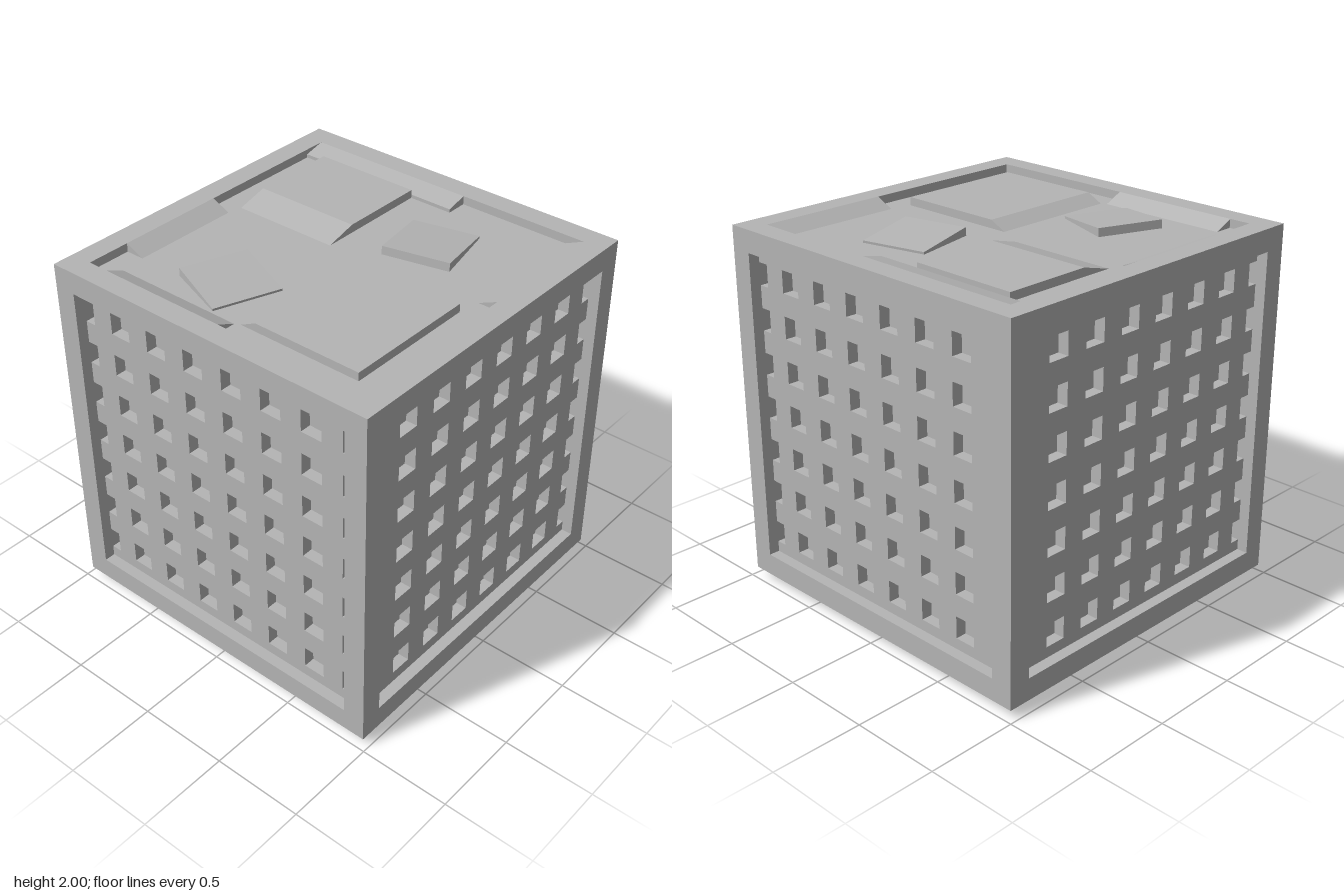
import * as THREE from 'three';

const U = 0.061;            // modelling grid unit: the crate is 32 units wide
const MID = 1.025;          // height of the crate's centre
const IN = 14 * U, OUT = 16 * U;
const FLOOR = 1.953, TOP = 1.998;

export function createModel() {
  const model = new THREE.Group();
  const grey = new THREE.MeshStandardMaterial({ color: 0xb4b4b4 });
  grey.name = 'grey';

  const add = (name, geometry, parent = model) => {
    const mesh = new THREE.Mesh(geometry, grey);
    mesh.name = name;
    parent.add(mesh);
    return mesh;
  };
  const box = (name, w, h, d, x, y, z, parent) => {
    const mesh = add(name, new THREE.BoxGeometry(w, h, d), parent);
    mesh.position.set(x, y, z);
    return mesh;
  };

  // Solid core, which also sticks out below as the base
  box('core', 2 * IN, FLOOR, 2 * IN, 0, FLOOR / 2, 0);

  // Outer frame: four posts, with rails between them at the top and bottom
  const frame = new THREE.Group();
  frame.name = 'frame';
  model.add(frame);
  const c = 15 * U, t = 2 * U;
  for (const a of [-1, 1]) for (const b of [-1, 1]) {
    box('post', t, 2 * (2 - MID), t, a * c, MID, b * c, frame);
    const y = MID + b * (2 - MID - U);
    box('rail', 2 * IN, t, t, 0, y, a * c, frame);
    box('rail', t, t, 2 * IN, a * c, y, 0, frame);
  }

  // Lattice panel with square holes and half holes along its side edges
  const rows = [-12, -8, -4, 0, 4, 8, 12];
  const edge = [[14, -14]];
  for (const r of rows) edge.push([14, r - 1], [13, r - 1], [13, r + 1], [14, r + 1]);
  edge.push([14, 14]);
  const outline = [...edge, ...edge.map(([x, y]) => [-x, y]).reverse()];
  const toVec = ([x, y]) => new THREE.Vector2(x * U, y * U);
  const panel = new THREE.Shape(outline.map(toVec));
  for (const r of rows) for (const x of [-10, -6, -2, 2, 6, 10]) {
    const hole = [[x - 1, r - 1], [x - 1, r + 1], [x + 1, r + 1], [x + 1, r - 1]];
    panel.holes.push(new THREE.Path(hole.map(toVec)));
  }
  const lattice = new THREE.ExtrudeGeometry(panel, { depth: U, bevelEnabled: false });
  lattice.translate(0, 0, IN);
  for (let i = 0; i < 4; i++) {
    const side = add('lattice', lattice);
    side.position.y = MID;
    side.rotation.y = i * Math.PI / 2;
  }

  // Prisms on the lid: a side profile (x or z against y) swept from one end to the other
  const prism = (name, axis, profile, from, to) => {
    const shape = new THREE.Shape(profile.map(([p, y]) => new THREE.Vector2(p, y)));
    const mesh = add(name, new THREE.ExtrudeGeometry(shape, { depth: to - from, bevelEnabled: false }));
    if (axis === 'x') mesh.position.z = from;
    else {
      mesh.position.x = to;
      mesh.rotation.y = -Math.PI / 2;
    }
  };
  // Raised slabs, each with one sloping end
  prism('frontSlab', 'z', [[0.73, FLOOR], [0.73, TOP], [0.12, TOP], [0.03, FLOOR]], -0.735, 0);
  prism('backSlab', 'x', [[0.735, FLOOR], [0.735, TOP], [0.25, TOP], [0.08, FLOOR]], -0.735, -0.13);
  // Ramps up to the rim
  prism('backRamp', 'z', [[-IN, FLOOR], [-0.75, FLOOR], [-IN, 2]], -0.61, 0);
  prism('leftRamp', 'x', [[-IN, FLOOR], [-0.75, FLOOR], [-IN, 2]], -0.735, 0);
  prism('frontRamp', 'z', [[0.75, FLOOR], [IN, FLOOR], [IN, 2]], 0.12, IN);
  prism('rightRamp', 'x', [[0.735, FLOOR], [IN, FLOOR], [IN, 2], [0.735, 1.972]], -IN, 0.12);

  // Loose square tiles, turned and tipped up along one edge
  const tile = (x, z, turn, tipX, tipZ) => {
    const mesh = box('tile', 6 * U, 0.06, 6 * U, x, 1.952, z);
    mesh.rotation.set(tipX, turn, tipZ, 'YXZ');
  };
  tile(-0.5, -0.26, -0.353, 0.09, 0);
  tile(0.398, 0.257, 0.222, 0, -0.09);

  return model;
}
